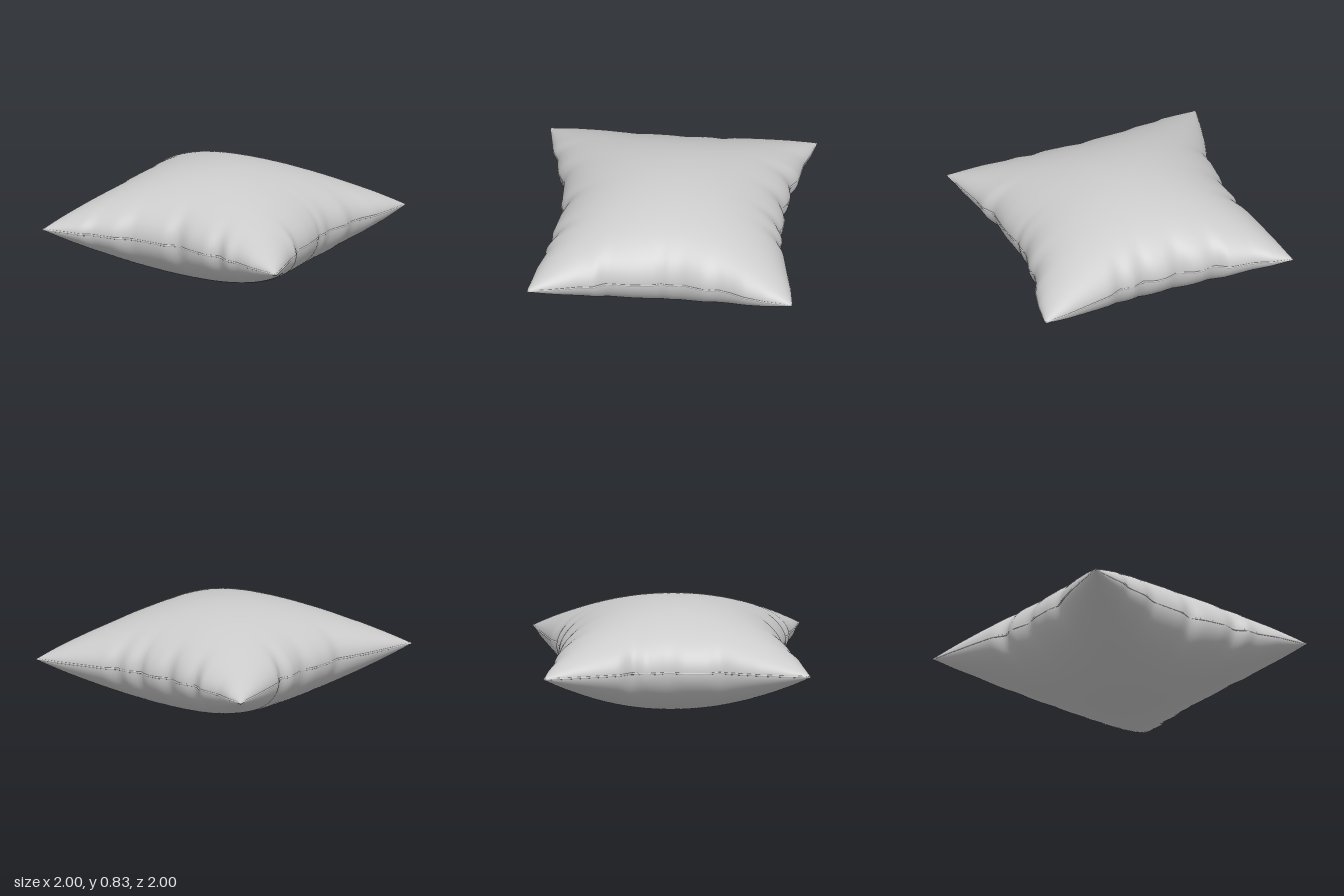
import * as THREE from 'three';

// Puckered outline of each side: [position along the side, distance from the centre]
const left = [[-1, 1], [-0.8, 0.965], [-0.6, 0.925], [-0.42, 0.885], [-0.33, 0.82], [-0.23, 0.855], [-0.05, 0.815],
  [0.05, 0.845], [0.23, 0.85], [0.33, 0.83], [0.45, 0.875], [0.6, 0.92], [0.8, 0.965], [1, 1]];
const right = [[-1, 0.99], [-0.8, 0.965], [-0.63, 0.925], [-0.53, 0.88], [-0.43, 0.85], [-0.33, 0.86], [-0.15, 0.81],
  [-0.05, 0.825], [0, 0.81], [0.05, 0.83], [0.22, 0.85], [0.42, 0.85], [0.5, 0.9], [0.6, 0.91], [0.8, 0.96], [1, 1]];
const back = [[-1, 1], [-0.85, 0.97], [-0.72, 0.925], [-0.53, 0.905], [-0.43, 0.84], [-0.33, 0.865], [-0.25, 0.855],
  [-0.15, 0.805], [-0.05, 0.845], [0.05, 0.845], [0.13, 0.81], [0.23, 0.855], [0.33, 0.835], [0.42, 0.885],
  [0.6, 0.925], [0.8, 0.97], [1, 1]];
const front = [[-1, 1], [-0.8, 0.965], [-0.7, 0.95], [-0.62, 0.91], [-0.45, 0.89], [-0.33, 0.835], [-0.05, 0.83],
  [0.05, 0.785], [0.15, 0.83], [0.33, 0.865], [0.43, 0.835], [0.52, 0.895], [0.6, 0.895], [0.75, 0.945], [1, 0.99]];

function sample(side, t) {
  let i = 1;
  while (i < side.length - 1 && side[i][0] < t) i++;
  const [a, p] = side[i - 1], [b, q] = side[i];
  return THREE.MathUtils.lerp(p, q, THREE.MathUtils.clamp((t - a) / (b - a), 0, 1));
}

// Smooth waist in the middle of the cloth, puckered outline towards the seam
function spread(u, v, negative, positive) {
  const smooth = 0.83 + 0.17 * Math.abs(v) ** 1.6;
  const edge = sample(u < 0 ? negative : positive, v);
  return u * THREE.MathUtils.lerp(smooth, edge, Math.abs(u) ** 6);
}

// Point of the cushion for s, t in -1..1; puff is 1 for the top, -1 for the bottom, 0 for the seam plane
function cushionPoint(s, t, puff) {
  const a = s * Math.PI / 2, b = t * Math.PI / 2;
  const u = Math.sin(a), v = Math.sin(b);
  const seamY = 0.415 - 0.022 * u;
  const height = 0.415 * Math.cos(a) * Math.cos(b);
  return new THREE.Vector3(spread(u, v, left, right), seamY + puff * height, spread(v, u, back, front));
}

function panel(name, puff, material) {
  const geometry = new THREE.PlaneGeometry(2, 2, 96, 96);
  const pos = geometry.attributes.position;
  for (let i = 0; i < pos.count; i++) {
    const p = cushionPoint(pos.getX(i), -puff * pos.getY(i), puff);
    pos.setXYZ(i, p.x, p.y, p.z);
  }
  geometry.computeVertexNormals();
  const mesh = new THREE.Mesh(geometry, material);
  mesh.name = name;
  return mesh;
}

export function createModel() {
  const group = new THREE.Group();
  group.name = 'cushion';
  const material = new THREE.MeshStandardMaterial({ color: 0xcccccc, side: THREE.DoubleSide });

  // Upper and lower cloth panels
  group.add(panel('topPanel', 1, material), panel('bottomPanel', -1, material));

  // Thin stitched seam around the rim
  const rim = [];
  const corners = [[-1, -1], [1, -1], [1, 1], [-1, 1]];
  corners.forEach(([s0, t0], k) => {
    const [s1, t1] = corners[(k + 1) % 4];
    for (let i = 0; i < 60; i++) {
      const p = cushionPoint(s0 + (s1 - s0) * i / 60, t0 + (t1 - t0) * i / 60, 0);
      p.x *= 0.994;
      p.z *= 0.994;
      rim.push(p);
    }
  });
  const curve = new THREE.CatmullRomCurve3(rim, true, 'centripetal');
  const seam = new THREE.Mesh(new THREE.TubeGeometry(curve, 400, 0.009, 6, true), material);
  seam.name = 'seam';
  group.add(seam);
  return group;
}
